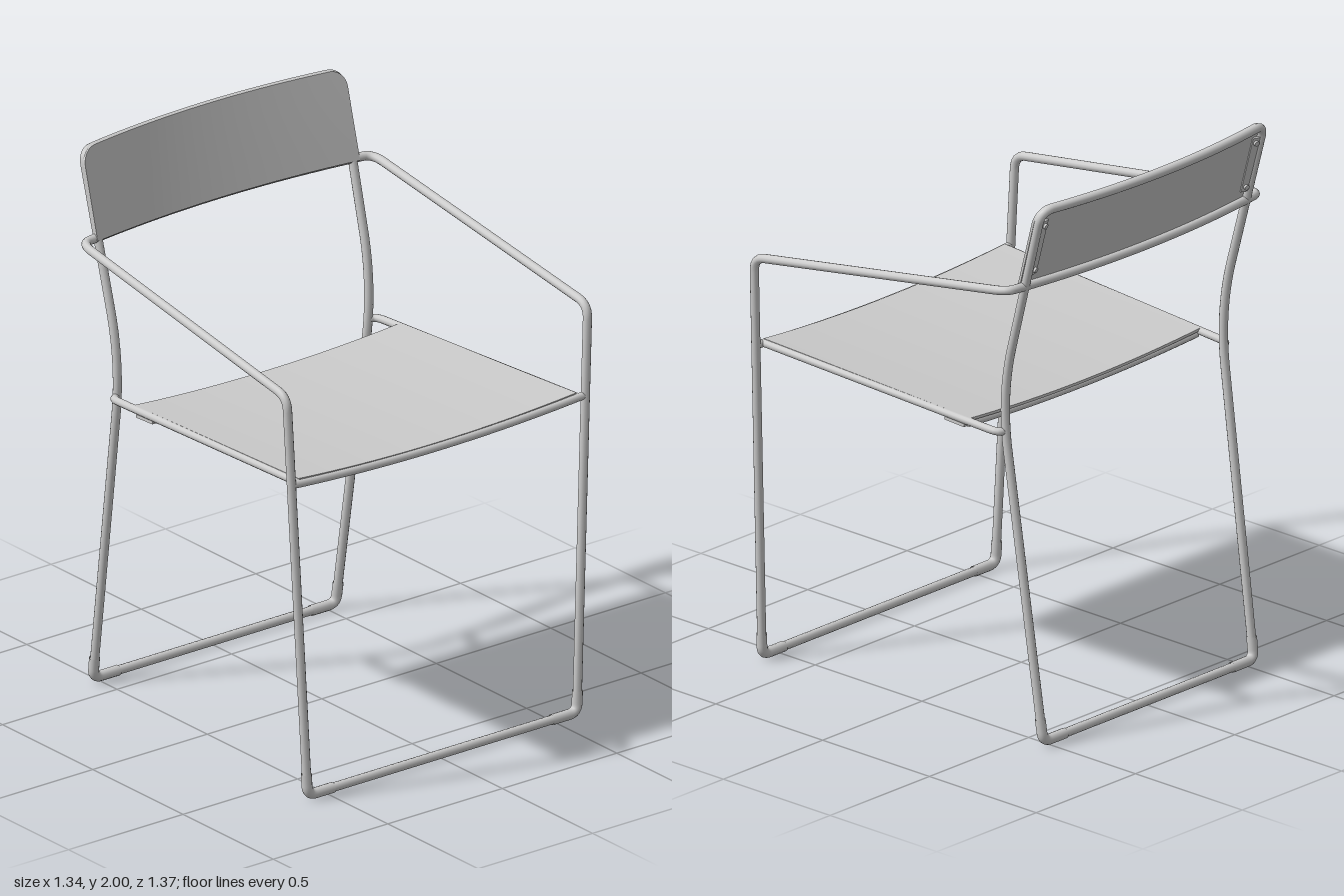
import * as THREE from 'three';

const metal = new THREE.MeshStandardMaterial({ color: 0xcccccc, side: THREE.DoubleSide });
const R = 0.016;       // main tube radius
const FLOOR = 0.019;   // height of the floor bars' centre line

const lerp = THREE.MathUtils.lerp;
const backHalf = 0.56;
// Centre surface of the backrest: t = 0 at the arm bow, 1 at the top tube
const backY = t => lerp(1.688, 1.984, t);
const backZ = (x, t) => lerp(-0.535, -0.615, t) - lerp(0.04, 0.049, t) * (1 - (x / backHalf) ** 2);
// Seat frame: rail height and half width along z, sagging across x
const railY = z => lerp(1.127, 1.18, (z + 0.43) / 1.07);
const railX = z => lerp(0.578, 0.607, (z + 0.38) / 1.02);
const sag = x => 0.025 * Math.max(0, 1 - (x / 0.61) ** 2);

// Path through [x, y, z, bend] corners, each corner rounded over length "bend"
function bentPath(corners, closed = false) {
  const path = new THREE.CurvePath();
  path.arcLengthDivisions = 1000;
  const pts = corners.map(c => new THREE.Vector3(c[0], c[1], c[2]));
  const n = pts.length;
  const toward = (a, b, d) => a.clone().lerp(b, Math.min(0.49, d / a.distanceTo(b)));
  let cursor = closed ? pts[0].clone().lerp(pts[n - 1], 0.5) : pts[0];
  const start = cursor;
  for (let i = closed ? 0 : 1; i < (closed ? n : n - 1); i++) {
    const p = pts[i], bend = corners[i][3] ?? 0.03;
    const a = toward(p, pts[(i + n - 1) % n], bend);
    const b = toward(p, pts[(i + 1) % n], bend);
    path.add(new THREE.LineCurve3(cursor, a));
    path.add(new THREE.QuadraticBezierCurve3(a, p, b));
    cursor = b;
  }
  path.add(new THREE.LineCurve3(cursor, closed ? start : pts[n - 1]));
  return path;
}

function addMesh(group, name, geometry) {
  const mesh = new THREE.Mesh(geometry, metal);
  mesh.name = name;
  group.add(mesh);
  return mesh;
}

function addTube(group, name, corners, radius, segments, closed = false) {
  return addMesh(group, name, new THREE.TubeGeometry(bentPath(corners, closed), segments, radius, 12, closed));
}

// Half loop on the +x side, mirrored to close it; the bow joins both halves
function loopFrame(half, t) {
  const bow = [];
  for (let i = 1; i < 12; i++) {
    const x = lerp(0.54, -0.54, i / 12);
    bow.push([x, backY(t), backZ(x, t), 0.035]);
  }
  const mirrored = half.map(([x, ...rest]) => [-x, ...rest]).reverse();
  return [...half, ...bow, ...mirrored];
}

// Thin sheet: map(u, v, w) places a box with u, v in -1..1 and w in 0..1
function sheet(nu, nv, map) {
  const g = new THREE.BoxGeometry(2, 2, 1, nu, nv, 1);
  const p = g.attributes.position;
  for (let i = 0; i < p.count; i++) p.setXYZ(i, ...map(p.getX(i), p.getY(i), p.getZ(i) + 0.5));
  g.computeVertexNormals();
  return g;
}

export function createModel() {
  const chair = new THREE.Group();
  chair.name = 'armchair';

  // Front legs, arms and the bow behind the sitter as one bent tube
  const frontFloor = [0.588, FLOOR, 0.667, 0.035];
  addTube(chair, 'frontLegAndArmFrame', loopFrame([
    frontFloor,
    [0.657, 1.51, 0.64, 0.05],
    [0.635, 1.688, -0.525, 0.06],
    [0.56, backY(0), backZ(0.56, 0), 0.02],
  ], 0), R, 520, true);

  // Rear legs, backrest uprights and top tube as one bent tube
  const rearFloor = [0.53, FLOOR, -0.595, 0.035];
  addTube(chair, 'rearLegAndBackFrame', loopFrame([
    rearFloor,
    [0.55, 1.25, -0.418, 0.2],
    [0.56, backY(1), backZ(0.56, 1), 0.05],
  ], 1), R, 520, true);

  // Backrest panel with rounded top corners, laid on the front of the tubes
  const W = 0.573, cornerR = 0.06;
  addMesh(chair, 'backrestPanel', sheet(64, 4, (u, v, w) => {
    const x = W * Math.sin(u * Math.PI / 2);
    const over = Math.max(0, Math.abs(x) - (W - cornerR));
    const top = 1.998 - cornerR + Math.sqrt(Math.max(0, cornerR ** 2 - over ** 2));
    const y = lerp(1.684, top, (v + 1) / 2);
    const t = (y - 1.688) / 0.296;
    return [x, y, backZ(x, t) + 0.008 + 0.01 * w];
  }));

  // Seat sheet, gently dished from side to side
  addMesh(chair, 'seatPanel', sheet(32, 8, (u, v, w) => {
    const z = lerp(0.642, -0.302, (v + 1) / 2);
    const x = u * railX(z);
    return [x, railY(z) + 0.006 + 0.01 * w - sag(x), z];
  }));

  // Cross bars under the front and rear seat edges
  const crossBar = (name, z, half, drop, depth) => {
    const pts = [];
    for (let i = 0; i <= 12; i++) {
      const x = lerp(-half, half, i / 12);
      pts.push([x, railY(z) - drop - depth * (1 - (x / half) ** 2), z, 0.04]);
    }
    addTube(chair, name, pts, 0.014, 60);
  };
  crossBar('frontSeatBar', 0.645, 0.64, 0, 0.025);
  crossBar('rearSeatBar', -0.285, 0.575, 0.012, 0.018);

  for (const side of [1, -1]) {
    const word = side > 0 ? 'left' : 'right';

    // Side rail, hooked inward to the rear upright
    addTube(chair, word + 'SeatRail', [
      [side * railX(0.645), railY(0.645), 0.645],
      [side * 0.578, railY(-0.425), -0.425, 0.035],
      [side * 0.548, railY(-0.435), -0.438],
    ], 0.014, 80);

    // Sleeve glides around the floor corners
    for (const [end, c, lean] of [['Front', frontFloor, [0.004, -0.002]], ['Rear', rearFloor, [0.002, 0.011]]]) {
      addTube(chair, word + end + 'Glide', [
        [side * (c[0] + lean[0]), c[1] + 0.08, c[2] + lean[1]],
        [side * c[0], c[1], c[2], 0.035],
        [side * (c[0] - 0.11), c[1], c[2]],
      ], 0.019, 30);
    }

    // Fixing tabs and screws under the seat corners
    for (const [end, z, drop] of [['Front', 0.585, 0.008], ['Rear', -0.235, 0.014]]) {
      const x = side * 0.555;
      const y = railY(z) - sag(x) - drop;
      const tab = addMesh(chair, word + end + 'SeatTab', new THREE.BoxGeometry(0.07, 0.012, 0.09));
      tab.position.set(x, y, z);
      tab.rotation.x = -0.05;
      const screw = addMesh(chair, word + end + 'SeatScrew', new THREE.CylinderGeometry(0.012, 0.012, 0.012, 12));
      screw.position.set(x - side * 0.012, y - 0.008, z);
    }

    // Fixing strip with screws behind the backrest, beside the upright
    const strip = new THREE.Group();
    strip.name = word + 'BackStrip';
    strip.position.set(side * 0.532, backY(0.5), backZ(0.532, 0.5) + 0.002);
    strip.rotation.set(-0.265, side * 0.16, 0);
    addMesh(strip, 'stripPlate', new THREE.BoxGeometry(0.034, 0.22, 0.008));
    for (const y of [-0.09, 0.09]) {
      const screw = addMesh(strip, 'stripScrew', new THREE.CylinderGeometry(0.01, 0.01, 0.01, 12));
      screw.rotation.x = Math.PI / 2;
      screw.position.set(0, y, -0.007);
    }
    chair.add(strip);
  }
  return chair;
}
